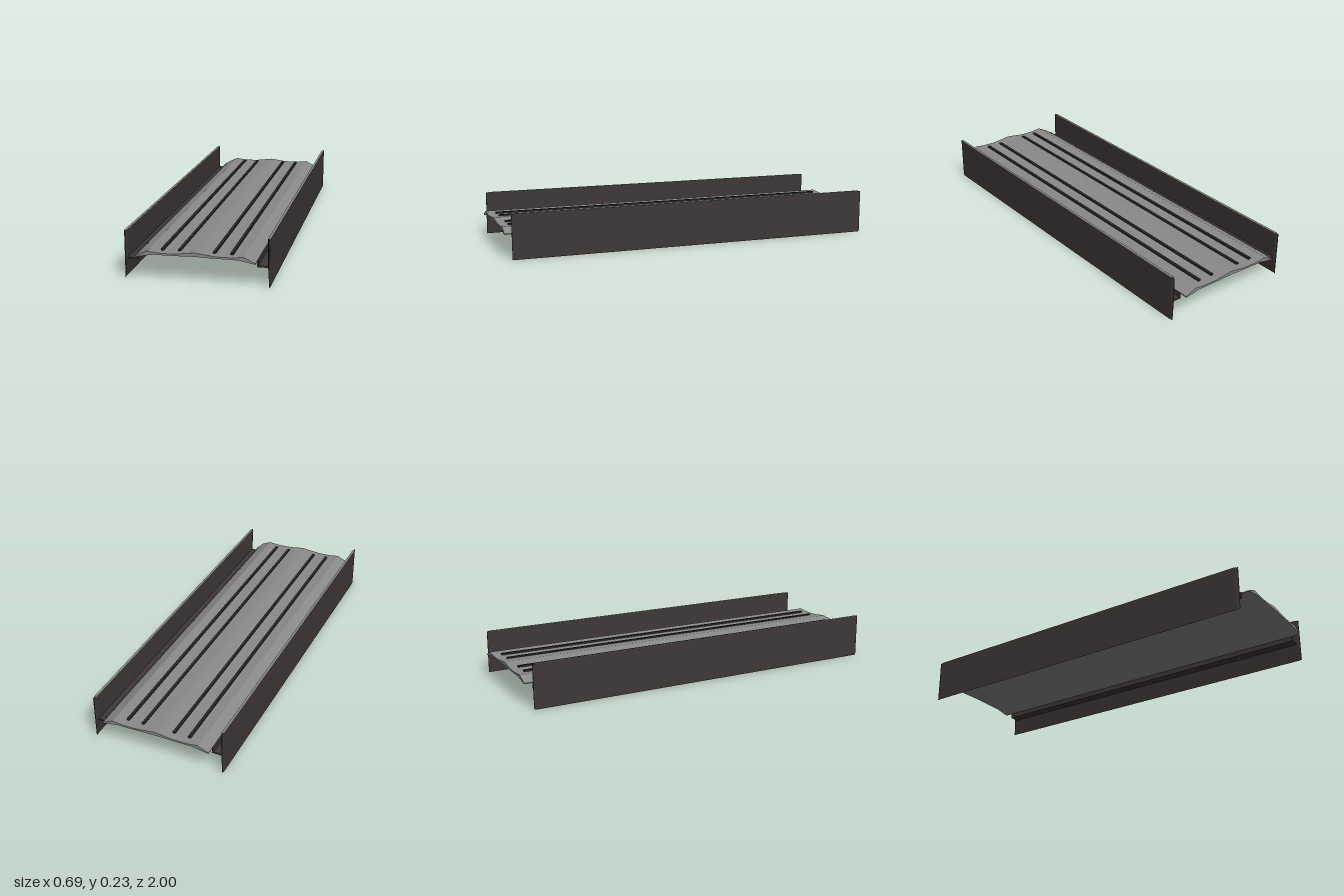
import * as THREE from 'three';
import { toCreasedNormals } from 'three/addons/utils/BufferGeometryUtils.js';

const mat = (name, color) => {
  const m = new THREE.MeshStandardMaterial({ color });
  m.name = name;
  return m;
};

// Cross-section in x/y, run along z and centred
function run(points, length, steps = 1) {
  const shape = new THREE.Shape(points.map(([x, y]) => new THREE.Vector2(x, y)));
  const g = new THREE.ExtrudeGeometry(shape, { depth: length, steps, bevelEnabled: false });
  return g.translate(0, 0, -length / 2);
}

export function createModel() {
  const group = new THREE.Group();
  const grey = mat('deck grey', 0x8a8a8a);
  const dark = mat('wall brown grey', 0x3f3838);
  const black = mat('strip dark', 0x2c2828);

  const add = (name, geometry, material) => {
    const mesh = new THREE.Mesh(geometry, material);
    mesh.name = name;
    group.add(mesh);
    return mesh;
  };

  // Deck: thin slab with a centre crown and raised shoulders
  const half = [[0.03, 0.149], [0.085, 0.142], [0.12, 0.14], [0.18, 0.141], [0.228, 0.147], [0.283, 0.121]];
  const under = [[0.283, 0.116], [0.2, 0.131], [0.08, 0.132]];
  const right = [[0, 0.153], ...half, ...under];
  const left = [...half, ...under].reverse().map(([x, y]) => [-x, y]);
  add('deck', toCreasedNormals(run([...right, [0, 0.134], ...left], 2), 0.3), grey);

  for (const s of [1, -1]) {
    const side = s > 0 ? 'left' : 'right';
    const mirror = (pts) => pts.map(([x, y]) => [s * x, y]);

    // Side wall: bottom tapers to an edge, both ends pinch to a point in plan
    const wall = run(mirror([[0.345, 0], [0.346, 0.228], [0.333, 0.228], [0.333, 0.095]]), 1.95, 3);
    const p = wall.attributes.position;
    for (let i = 0; i < p.count; i++) {
      const z = p.getZ(i);
      if (Math.abs(z) > 0.9) {
        p.setX(i, s * 0.34 + (p.getX(i) - s * 0.34) * 0.3);
      } else {
        p.setZ(i, Math.sign(z) * 0.96);
      }
    }
    wall.computeVertexNormals();
    add(side + 'Wall', wall, dark);

    // Pale cap along the wall top
    const cap = new THREE.BoxGeometry(0.013, 0.002, 1.92).translate(s * 0.3395, 0.229, 0);
    add(side + 'WallCap', cap, grey);

    // Stepped ledge joining wall and deck
    const ledge = mirror([[0.334, 0.09], [0.334, 0.097], [0.289, 0.097], [0.289, 0.122],
      [0.281, 0.122], [0.281, 0.09]]);
    add(side + 'Ledge', run(ledge, 1.915), dark);

    // Long guide strips on the deck
    for (const [name, x] of [['InnerStrip', 0.083], ['OuterStrip', 0.165]]) {
      add(side + name, new THREE.BoxGeometry(0.014, 0.009, 1.915).translate(s * x, 0.1455, 0), black);
    }
  }
  return group;
}
